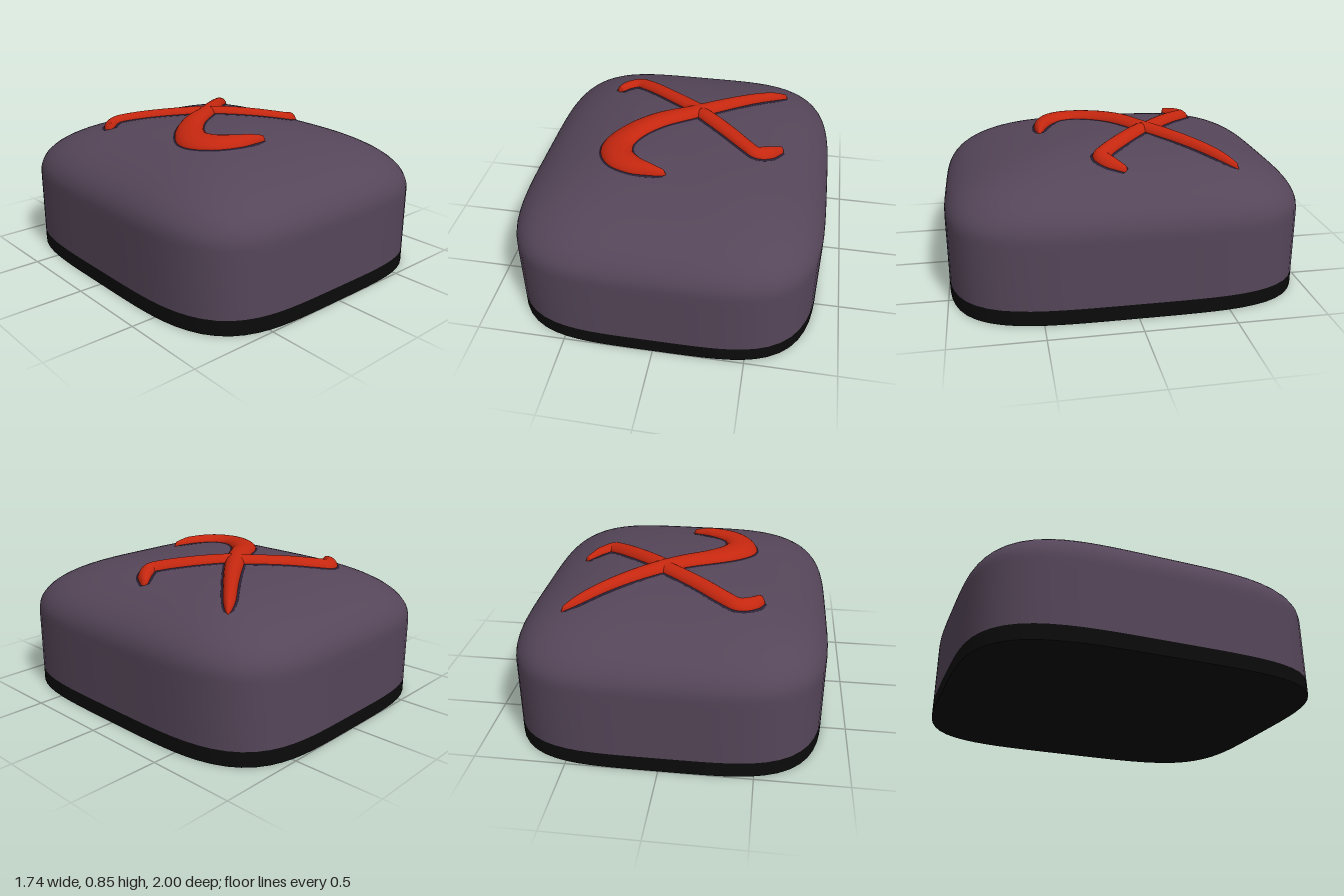
import * as THREE from 'three';

const HALF_X = 0.87, HALF_Z = 1, POWER = 4.2, BASE_TOP = 0.085, WALL_TOP = 0.45;

// Height of the domed top for a scale s (0 centre, 1 rim)
const domeHeight = (s) => WALL_TOP + 0.36 * Math.pow(Math.max(0, 1 - s * s), 0.44);
const norm = (a, b) => Math.pow(Math.abs(a) ** POWER + Math.abs(b) ** POWER, 1 / POWER);
const surfaceY = (x, z) => domeHeight(norm(x / HALF_X, z / HALF_Z));

// Smooth surface from a rule point(i, j); closed joins the last column to the first
function grid(nu, nv, closed, point) {
  const pos = [], idx = [], cols = closed ? nu : nu + 1;
  for (let i = 0; i < cols; i++) for (let j = 0; j <= nv; j++) pos.push(...point(i, j));
  for (let i = 0; i < nu; i++) for (let j = 0; j < nv; j++) {
    const a = i * (nv + 1) + j, b = ((i + 1) % cols) * (nv + 1) + j;
    idx.push(a, b, a + 1, b, b + 1, a + 1);
  }
  const g = new THREE.BufferGeometry();
  g.setAttribute('position', new THREE.Float32BufferAttribute(pos, 3));
  g.setIndex(idx);
  g.computeVertexNormals();
  return g;
}

// Stack of rounded-rectangle loops; profile holds [scale, y]
function loft(profile) {
  const n = 96;
  return grid(n, profile.length - 1, true, (i, j) => {
    const a = (i / n) * Math.PI * 2, c = Math.cos(a), d = -Math.sin(a);
    const [s, y] = profile[j], r = s / norm(c, d);
    return [HALF_X * r * c, y, HALF_Z * r * d];
  });
}

// Rounded ridge lying on the dome; points are [x, z, width]
function ridge(points, height, extra) {
  const curve = new THREE.CatmullRomCurve3(
    points.map(([x, z, w]) => new THREE.Vector3(x, w, z)), false, 'centripetal');
  const nu = 60, nv = 12;
  return grid(nu, nv, false, (i, j) => {
    const u = i / nu, p = curve.getPoint(u), t = curve.getTangent(u);
    const len = Math.hypot(t.x, t.z) || 1;
    // The first and last rings close the ends
    const end = i === 0 || i === nu ? 0 : Math.min(1, 0.7 + 0.15 * Math.min(i, nu - i));
    const half = (p.y / 2 + extra) * end, a = (j / nv) * Math.PI;
    const off = half * Math.cos(a);
    const x = p.x - (t.z / len) * off, z = p.z + (t.x / len) * off;
    const h = height * Math.min(1, 0.35 + p.y * 8) * (end === 0 ? 0 : 1);
    return [x, surfaceY(x, z) - 0.004 + h * Math.sin(a), z];
  });
}

export function createModel() {
  const group = new THREE.Group();
  const material = (name, color) => {
    const m = new THREE.MeshStandardMaterial({ color });
    m.name = name;
    return m;
  };
  const stone = material('dusky purple', 0x554659);
  const black = material('black', 0x0b0b0b);
  const red = material('red', 0xc5270f);
  const shade = material('dark purple', 0x2a2136);
  red.side = shade.side = THREE.DoubleSide;

  const add = (name, geometry, mat) => {
    const mesh = new THREE.Mesh(geometry, mat);
    mesh.name = name;
    group.add(mesh);
  };

  // Flat base band with its underside
  add('base', loft([[0, 0], [1, 0], [1, 0], [1, BASE_TOP]]), black);

  // Straight wall flowing into the dome
  const profile = [[1, BASE_TOP], [1, 0.25], [1, 0.4]];
  for (let k = 0; k <= 28; k++) {
    const s = Math.cos((k / 28) * Math.PI / 2);
    profile.push([s, domeHeight(s)]);
  }
  add('body', loft(profile), stone);

  // Crossed ornament ridges, each with a slim dark rim
  const ridges = {
    longSweep: [0.05, [
      [0.58, -0.605, 0.025], [0.5, -0.54, 0.065], [0.35, -0.41, 0.085], [0.18, -0.27, 0.105],
      [0.02, -0.15, 0.12], [-0.17, -0.03, 0.145], [-0.29, 0.09, 0.17], [-0.345, 0.21, 0.19],
      [-0.31, 0.32, 0.17], [-0.22, 0.385, 0.13], [-0.12, 0.415, 0.08], [-0.02, 0.43, 0.03]]],
    upperArm: [0.046, [
      [-0.49, -0.425, 0.06], [-0.44, -0.49, 0.085], [-0.37, -0.52, 0.095], [-0.29, -0.475, 0.1],
      [-0.15, -0.365, 0.1], [0.0, -0.25, 0.1], [0.08, -0.19, 0.1]]],
    lowerArm: [0.046, [
      [0.075, -0.17, 0.09], [0.13, -0.125, 0.1], [0.28, 0.005, 0.1], [0.39, 0.1, 0.095],
      [0.445, 0.135, 0.095], [0.505, 0.105, 0.09], [0.555, 0.055, 0.06], [0.585, 0.02, 0.035]]],
  };
  for (const [name, [height, points]] of Object.entries(ridges)) {
    add(name, ridge(points, height, 0), red);
    add(name + 'Rim', ridge(points, 0.014, 0.012), shade);
  }
  return group;
}
